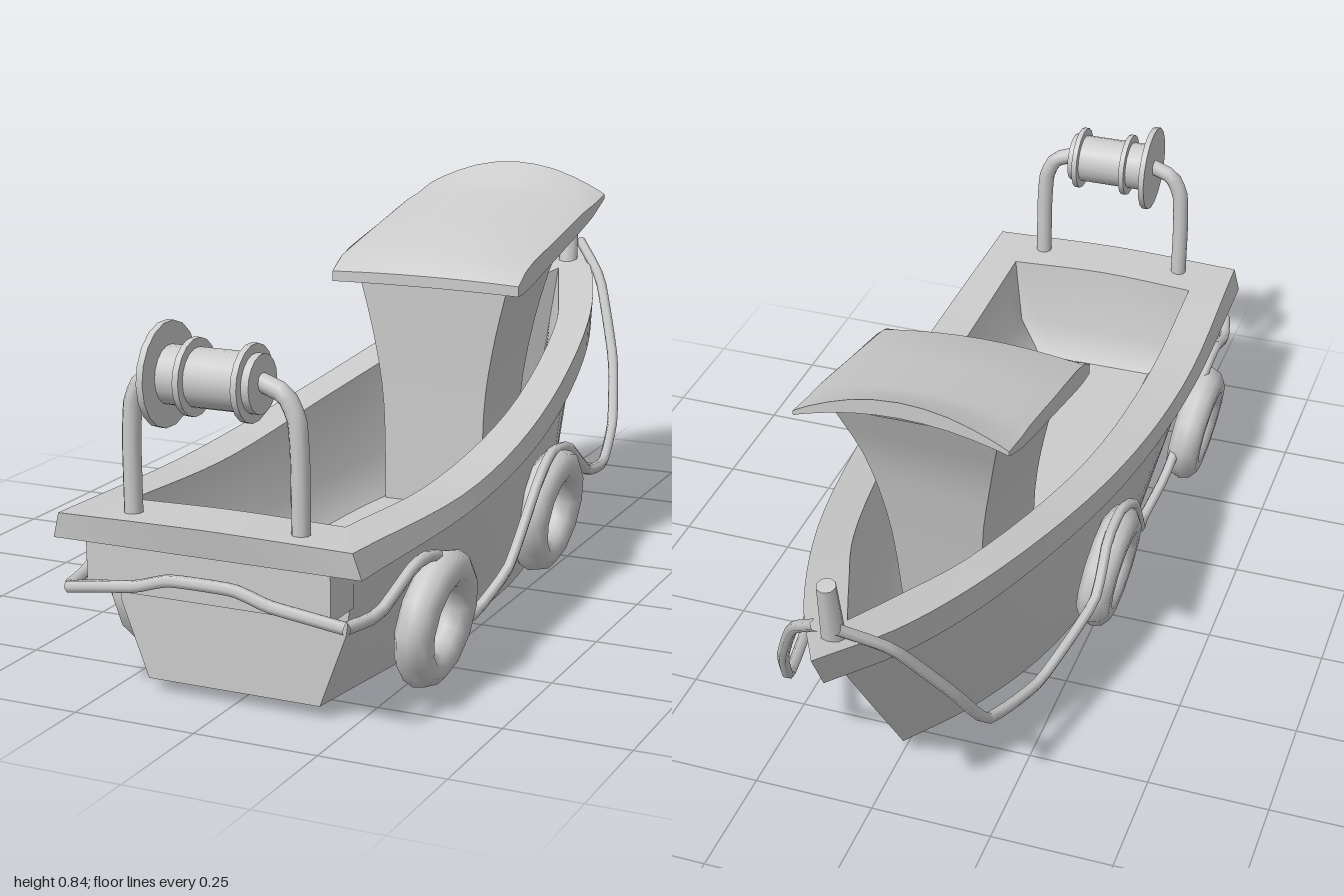
import * as THREE from 'three';

const grey = new THREE.MeshStandardMaterial({ color: 0xcccccc });
const sheet = new THREE.MeshStandardMaterial({ color: 0xcccccc, side: THREE.DoubleSide });
const V = (p) => new THREE.Vector3(...p);
const flip = (rail) => rail.map(([x, y, z]) => [-x, y, z]);

// Surface stretched over a series of rails, each a short list of points
function loft(rails, n = 24, reverse = false) {
  const pos = [], idx = [];
  for (const r of rails) {
    const curve = new THREE.CatmullRomCurve3(r.map(V));
    for (let i = 0; i <= n; i++) pos.push(...curve.getPoint(i / n).toArray());
  }
  for (let j = 0; j < rails.length - 1; j++) {
    for (let i = 0; i < n; i++) {
      const a = j * (n + 1) + i, b = a + 1, c = a + n + 1, d = c + 1;
      if (reverse) idx.push(a, b, c, b, d, c);
      else idx.push(a, c, b, b, c, d);
    }
  }
  const g = new THREE.BufferGeometry();
  g.setAttribute('position', new THREE.Float32BufferAttribute(pos, 3));
  g.setIndex(idx);
  g.computeVertexNormals();
  return g;
}

function add(parent, name, geometry, material = grey) {
  const m = new THREE.Mesh(geometry, material);
  m.name = name;
  parent.add(m);
  return m;
}

function tube(points, radius, segments, sides = 8) {
  const curve = new THREE.CatmullRomCurve3(points.map(V), false, 'catmullrom', 0.25);
  return new THREE.TubeGeometry(curve, segments, radius, sides);
}

// Hull rails on the left side, stern to bow
const bottom = [[.18, .035, .85], [.235, .035, .4], [.235, .035, .05], [.185, .035, -.22], [.1, .035, -.42], [0, .035, -.57]];
const bilge = [[.235, .18, .85], [.27, .18, .4], [.26, .19, 0], [.195, .22, -.32], [.1, .24, -.55], [0, .26, -.73]];
const sheer = [[.255, .325, .85], [.295, .32, .4], [.268, .35, 0], [.195, .405, -.4], [.09, .44, -.68], [0, .46, -.87]];
const railLow = [[.315, .325, .95], [.322, .325, .45], [.288, .353, 0], [.195, .42, -.5], [.1, .462, -.78], [0, .49, -.95]];
const railTop = [[.3, .375, .955], [.312, .36, .45], [.282, .4, 0], [.197, .485, -.5], [.1, .535, -.8], [0, .58, -1]];
const railIn = [[.22, .375, .82], [.224, .36, .45], [.205, .4, 0], [.12, .483, -.5], [.05, .52, -.7], [0, .545, -.83]];
const wellMid = [[.2, .22, .81], [.2, .22, .42], [.185, .22, 0], [.1, .25, -.43], [.045, .26, -.58], [0, .27, -.7]];
const floor = [[.14, .15, .77], [.14, .15, .4], [.13, .15, 0], [.07, .15, -.35], [.035, .15, -.5], [0, .15, -.6]];

function buildHull(parent) {
  const hull = new THREE.Group();
  hull.name = 'hull';
  parent.add(hull);
  const strips = {
    hullSide: [bottom, bilge, sheer],
    rubRailUnderside: [sheer, railLow],
    rubRail: [railLow, railTop],
    gunwaleTop: [railTop, railIn],
    wellSide: [railIn, wellMid, floor],
  };
  // Each strip runs along both sides and across the stern
  const across = (rail, crown) => {
    const [x, y, z] = rail[0];
    return [[-x, y, z], [0, y + crown, z + crown], [x, y, z]];
  };
  for (const [name, rails] of Object.entries(strips)) {
    add(hull, name + 'Left', loft(rails, 28, true), sheet);
    add(hull, name + 'Right', loft(rails.map(flip), 28), sheet);
    const ends = rails.map((r) => across(r, r === railTop || r === railIn ? .006 : 0));
    add(hull, name + 'Stern', loft(ends, 8, true), sheet);
  }
  add(hull, 'keelPlate', loft([bottom, flip(bottom)], 28), sheet);
  add(hull, 'cockpitFloor', loft([floor, flip(floor)], 28, true), sheet);
  add(hull, 'sternBlock', new THREE.BoxGeometry(.5, .1, .095)).position.set(0, .285, .895);
}

function buildCabin(parent) {
  const cabin = new THREE.Group();
  cabin.name = 'cabin';
  parent.add(cabin);
  // Flared corner edges of the cabin
  const aft = [[.115, .15, -.07], [.12, .38, -.07], [.142, .52, -.068], [.178, .665, -.065]];
  const fore = [[.09, .15, -.31], [.1, .42, -.36], [.132, .6, -.4], [.17, .75, -.465]];
  add(cabin, 'cabinWallLeft', loft([aft, fore], 10, true), sheet);
  add(cabin, 'cabinWallRight', loft([flip(aft), flip(fore)], 10), sheet);
  add(cabin, 'cabinWallAft', loft([aft, flip(aft)], 10), sheet);
  add(cabin, 'cabinWallFore', loft([fore, flip(fore)], 10, true), sheet);

  // Arched roof: z, underside, edge height, arch
  const sections = [[-.02, .64, .662, .005], [-.07, .645, .69, .02], [-.25, .687, .728, .027],
    [-.42, .728, .762, .03], [-.47, .742, .768, .04], [-.545, .772, .782, .063]];
  const arch = (z, y, h) => [-1, -.85, -.45, 0, .45, .85, 1].map((u) => [u * .217, y + h * (1 - u * u), z]);
  const top = sections.map(([z, , y, h]) => arch(z, y, h));
  const under = sections.map(([z, y, , h]) => arch(z, y, h * .6));
  const n = sections.length - 1;
  add(cabin, 'roofTop', loft(top, 12, true), sheet);
  add(cabin, 'roofUnderside', loft(under, 12), sheet);
  add(cabin, 'roofAftEdge', loft([under[0], top[0]], 12), sheet);
  add(cabin, 'roofForeEdge', loft([under[n], top[n]], 12, true), sheet);
  for (const k of [0, 6]) {
    add(cabin, 'roofSideEdge', loft([under.map((r) => r[k]), top.map((r) => r[k])], 12, k > 0), sheet);
  }
}

function buildWinch(parent) {
  const winch = new THREE.Group();
  winch.name = 'winch';
  winch.position.set(0, .645, .9);
  parent.add(winch);
  for (const s of [1, -1]) {
    const path = [[.172, -.29, 0], [.172, -.14, 0], [.167, -.06, 0], [.145, -.015, 0], [.095, .005, 0]];
    add(winch, 'winchPost', tube(path.map(([x, y, z]) => [s * x, y, z]), .018, 16, 10));
  }
  // Drum and flanges: name, x, radius, width
  for (const [name, x, r, w] of [['drum', .005, .055, .19], ['largeFlange', -.094, .098, .013],
    ['innerFlange', -.037, .072, .012], ['outerFlange', .079, .072, .012]]) {
    const m = add(winch, name, new THREE.CylinderGeometry(r, r, w, 18));
    m.rotation.z = Math.PI / 2;
    m.position.x = x;
  }
}

function buildFenders(parent) {
  for (const s of [1, -1]) {
    for (const [x, y, z] of [[.305, .145, .605], [.28, .178, -.045]]) {
      const tyre = add(parent, 'tyreFender', new THREE.TorusGeometry(.1, .038, 10, 12));
      tyre.rotation.order = 'ZYX';
      tyre.rotation.set(0, Math.PI / 2, -s * .15);
      tyre.position.set(s * x, y, z);
    }
  }
}

function buildRope(parent) {
  // Draped side rope, bow post to stern
  const side = [[.02, .6, -.925], [.1, .52, -.855], [.175, .35, -.745], [.21, .22, -.65], [.255, .175, -.46],
    [.3, .22, -.23], [.295, .3, -.12], [.295, .31, -.02], [.3, .27, .07], [.285, .12, .19], [.26, .055, .31],
    [.275, .09, .45], [.31, .25, .58], [.315, .285, .65], [.315, .287, .73], [.305, .235, .86], [.285, .235, .955]];
  for (const s of [1, -1]) {
    add(parent, s > 0 ? 'ropeLeft' : 'ropeRight', tube(s > 0 ? side : flip(side), .012, 64, 6));
  }
  const half = [[.285, .235, .955], [.21, .247, .96], [.135, .257, .96], [.065, .277, .96]];
  add(parent, 'sternRope', tube([...half, ...flip(half).reverse()], .012, 32, 6));
}

export function createModel() {
  const boat = new THREE.Group();
  boat.name = 'fishingBoat';
  buildHull(boat);
  buildCabin(boat);
  buildWinch(boat);
  buildFenders(boat);
  buildRope(boat);
  // Mooring post on the bow
  const post = add(boat, 'bowPost', new THREE.CylinderGeometry(.019, .025, .16, 8));
  post.position.set(0, .61, -.905);
  post.rotation.x = -.17;
  return boat;
}
